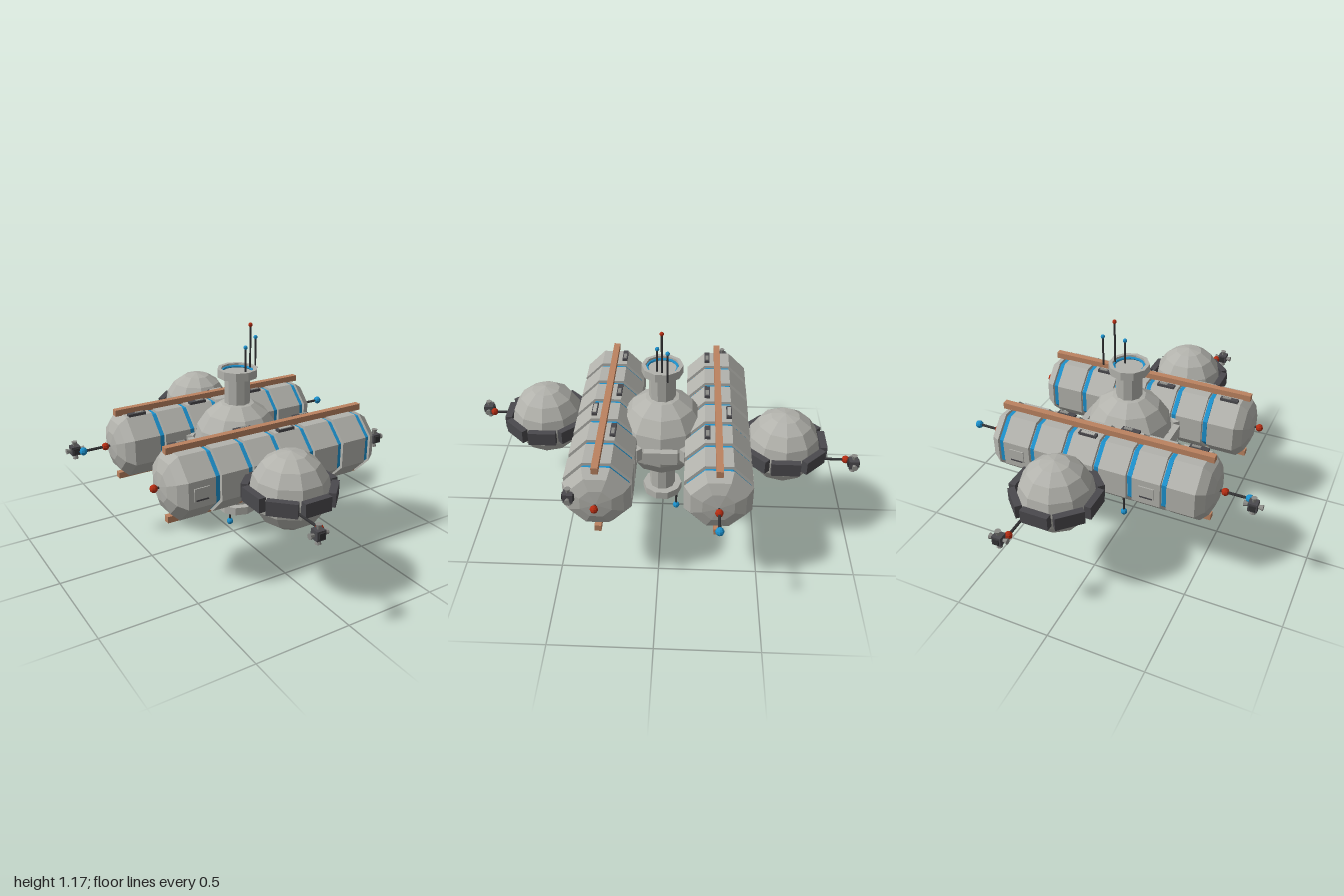
import * as THREE from 'three';

const mat = (name, color) => {
  const m = new THREE.MeshStandardMaterial({ color, flatShading: true });
  m.name = name;
  return m;
};

export function createModel() {
  const hull = mat('hull grey', 0xb2b2ac);
  const panel = mat('panel grey', 0x8c8c88);
  const dark = mat('dark grey', 0x4a494d);
  const rodMat = mat('rod charcoal', 0x333335);
  const blue = mat('light blue', 0x1b90cc);
  const red = mat('beacon red', 0xb42c12);
  const copper = mat('copper rail', 0xbb8260);

  const CX = 0.024, CY = 0.545;
  const root = new THREE.Group();
  root.name = 'spaceStation';

  const add = (parent, name, geo, m, x = 0, y = 0, z = 0) => {
    const mesh = new THREE.Mesh(geo, m);
    mesh.name = name;
    mesh.position.set(x, y, z);
    parent.add(mesh);
    return mesh;
  };
  const group = (name, x = 0, y = 0, z = 0) => {
    const g = new THREE.Group();
    g.name = name;
    g.position.set(x, y, z);
    root.add(g);
    return g;
  };
  const box = (w, h, d) => new THREE.BoxGeometry(w, h, d);
  const ball = (name, m, r, x, y, z) => add(root, name, new THREE.SphereGeometry(r, 8, 6), m, x, y, z);
  const rod = (name, a, b, r = 0.006) => {
    const p = new THREE.Vector3(...a), q = new THREE.Vector3(...b);
    const d = q.clone().sub(p);
    const mesh = add(root, name, new THREE.CylinderGeometry(r, r, d.length(), 6), rodMat);
    mesh.position.copy(p).add(q).multiplyScalar(0.5);
    mesh.quaternion.setFromUnitVectors(new THREE.Vector3(0, 1, 0), d.normalize());
  };
  // Turned profile of [radius, height] points
  const lathe = (pts, sides, turn = 0) =>
    new THREE.LatheGeometry(pts.map(p => new THREE.Vector2(...p)), sides, turn);

  // Sphere with eight plates around its equator
  const pod = (name, x, z, r, m, plateR, plateW) => {
    const g = group(name, x, CY, z);
    add(g, name + 'Shell', new THREE.SphereGeometry(r, 10, 8), hull);
    for (let i = 0; i < 8; i++) {
      const a = i * Math.PI / 4;
      const p = add(g, 'beltPlate', box(plateW, 0.07, 0.035), m,
        Math.sin(a) * plateR, 0, Math.cos(a) * plateR);
      p.rotation.y = a;
    }
  };
  pod('centralHub', CX, 0, 0.23, hull, 0.236, 0.17);
  pod('frontPod', -0.074, 0.62, 0.19, dark, 0.2, 0.143);
  pod('backPod', 0.122, -0.62, 0.19, dark, 0.2, 0.143);

  // Docking necks with a recessed flange, above and below the hub
  for (const s of [1, -1]) {
    const g = group(s > 0 ? 'upperDock' : 'lowerDock', CX, CY, 0);
    if (s < 0) g.rotation.x = Math.PI;
    add(g, 'neck', lathe([[0.068, 0.15], [0.068, 0.36]], 10), hull);
    add(g, 'flange', lathe([[0.068, 0.355], [0.105, 0.355], [0.105, 0.398],
      [0.085, 0.398], [0.085, 0.378], [0, 0.378]], 10), hull);
    const ring = add(g, 'dockRing', new THREE.TorusGeometry(0.077, 0.007, 6, 20), blue, 0, 0.383, 0);
    ring.rotation.x = Math.PI / 2;
  }

  // Octagonal modules along x
  const TURN = Math.PI / 8, K = 1 / Math.cos(TURN), R = 0.163 * K;
  const pitch = 0.177, ring0 = -0.35;
  for (const s of [1, -1]) {
    const side = s > 0 ? 'front' : 'back';
    const g = group(side + 'Module', 0, 0.541, s * 0.285);
    const along = new THREE.Group();
    along.name = side + 'ModuleBody';
    along.rotation.z = -Math.PI / 2;
    g.add(along);

    add(along, 'core', new THREE.CylinderGeometry(0.145 * K, 0.145 * K, 1.0, 8, 1, false, TURN), hull, 0, 0.02, 0);
    for (let i = 0; i < 6; i++) {
      const x = ring0 + i * pitch;
      add(along, 'blueRing', new THREE.CylinderGeometry(0.151 * K, 0.151 * K, 0.023, 8, 1, false, TURN), blue, 0, x, 0);
      if (i < 5) {
        add(along, 'segment', new THREE.CylinderGeometry(R, R, 0.145, 8, 1, false, TURN), hull, 0, x + pitch / 2, 0);
      }
    }
    add(along, 'leftCap', lathe([[0, 0.55], [R, 0.55], [0.13 * K, 0.6],
      [0.075 * K, 0.62], [0, 0.627]], 8, TURN), hull);
    add(along, 'rightCap', lathe([[0, -0.58], [0.07 * K, -0.572], [0.125 * K, -0.548],
      [R, -0.508], [R, -0.366], [0, -0.366]], 8, TURN), hull);

    // Rails above and below
    for (const v of [1, -1]) {
      add(g, 'rail', box(1.14, 0.033, 0.033), copper, 0.025, v * 0.176, 0);
    }
    // Roof hatches
    for (const x of [-0.445, -0.09, 0.265]) {
      add(g, 'hatch', box(0.095, 0.016, 0.027), dark, x, 0.168, -s * 0.055);
      add(g, 'hatchLid', box(0.045, 0.02, 0.016), panel, x + 0.015, 0.169, -s * 0.055);
    }
    add(g, 'hatch', box(0.095, 0.016, 0.027), dark, 0.09, 0.168, s * 0.055);
    add(g, 'hatchLid', box(0.07, 0.02, 0.018), hull, 0.09, 0.169, s * 0.055);
    // Wall panels
    const walls = s > 0 ? [-0.44, -0.09] : [-0.265, 0.09, 0.445];
    for (const x of walls) {
      add(g, 'wallPanel', box(0.08, 0.066, 0.009), hull, x, 0, s * 0.164);
      add(g, 'wallPanelSlot', box(0.066, 0.008, 0.006), dark, x, -0.027, s * 0.167);
    }
    // End beacons
    for (const [x, end] of [[0.655, 0.62], [-0.605, -0.57]]) {
      ball('redBeacon', red, 0.02, x, 0.541, s * 0.288);
      rod('beaconStub', [end, 0.541, s * 0.288], [x, 0.541, s * 0.288]);
    }
  }

  // Long end rods on the back module
  for (const [a, b] of [[0.655, 0.775], [-0.605, -0.725]]) {
    rod('endRod', [a, 0.541, -0.288], [b, 0.541, -0.288], 0.007);
    ball('blueBeacon', blue, 0.021, b, 0.541, -0.288);
  }

  // Pod rods
  for (const [x, s] of [[-0.146, 1], [0.196, -1]]) {
    rod('podRod', [x, 0.512, s * 0.76], [x, 0.512, s * 0.935], 0.007);
    ball('podBeacon', red, 0.02, x, 0.512, s * 0.935);
  }

  // Thruster blocks with four flared nozzles
  const thruster = (x, y, z) => {
    const g = group('thruster', x, y, z);
    add(g, 'thrusterBlock', box(0.046, 0.046, 0.046), dark);
    add(g, 'thrusterBand', box(0.03, 0.03, 0.058), rodMat);
    for (let i = 0; i < 4; i++) {
      const a = i * Math.PI / 2;
      const n = add(g, 'nozzle', new THREE.CylinderGeometry(0.015, 0.007, 0.026, 8), panel,
        -Math.sin(a) * 0.034, Math.cos(a) * 0.034, 0);
      n.rotation.z = a;
    }
  };
  thruster(-0.755, 0.541, -0.328);
  thruster(0.61, 0.577, 0.412);
  thruster(-0.178, 0.512, 0.97);
  thruster(0.224, 0.512, -0.97);

  // Aerials
  for (const [x, z, top, m] of [[0.057, 0.025, 1.05, blue], [0.101, 0, 1.157, red], [0.152, -0.03, 1.08, blue]]) {
    rod('aerial', [x, 0.92, z], [x, top, z], 0.005);
    ball('aerialTip', m, 0.011, x, top, z);
  }
  rod('lowerAerial', [0.025, 0.02, -0.077], [0.025, 0.17, -0.077], 0.006);
  ball('lowerAerialTip', blue, 0.019, 0.025, 0.02, -0.077);

  return root;
}
